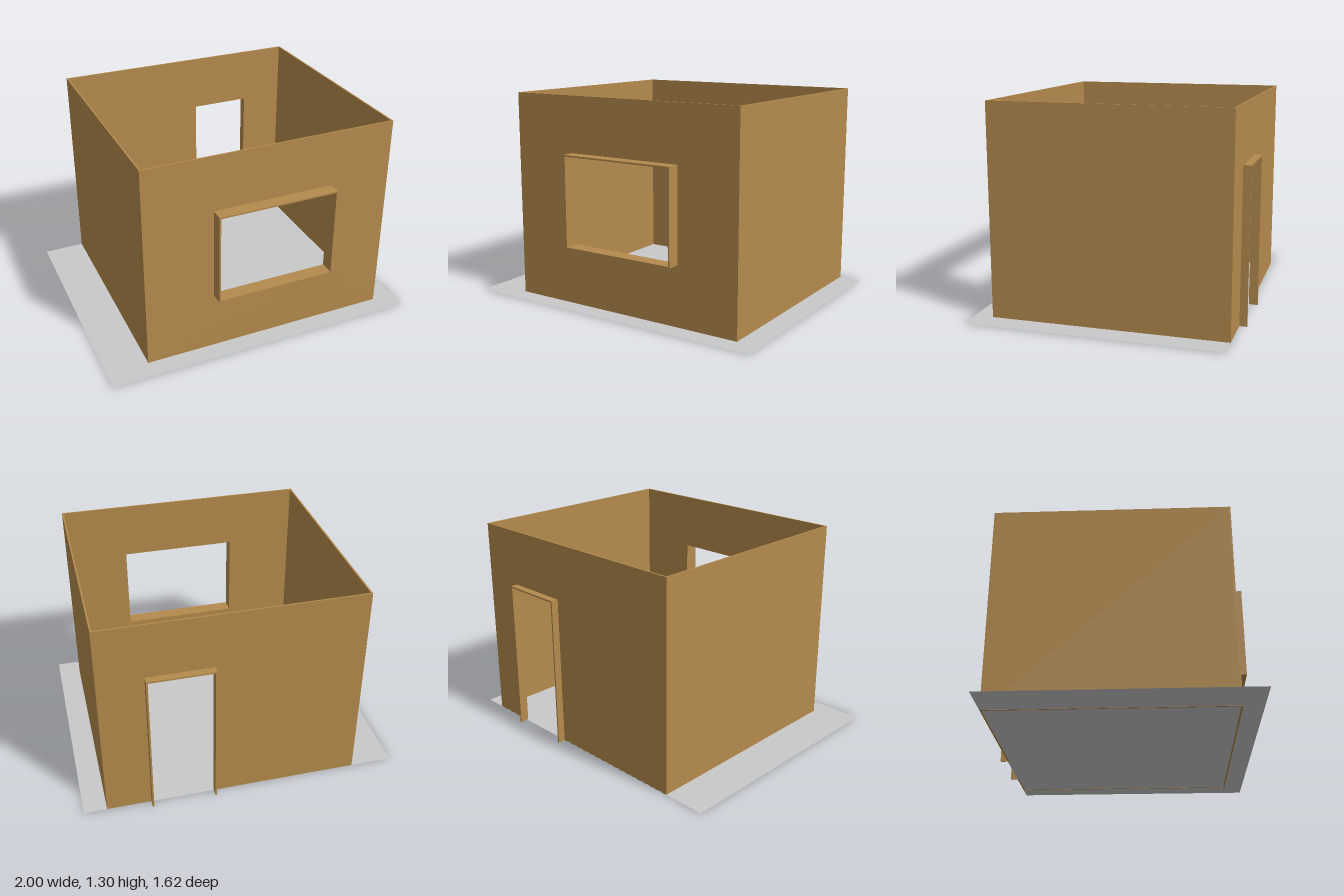
import * as THREE from 'three';

const T = 0.01; // sheet thickness of walls and frames
const X0 = -0.737, X1 = 0.857, Z0 = -0.762, Z1 = 0.687, H = 1.305;

// Closed outline from corner pairs
const outline = (pts, Type = THREE.Shape) => new Type(pts.map(([x, y]) => new THREE.Vector2(x, y)));
const rect = (x0, y0, x1, y1) => [[x0, y0], [x1, y0], [x1, y1], [x0, y1]];

export function createModel() {
  const group = new THREE.Group();
  const wallMat = new THREE.MeshStandardMaterial({ color: 0xb58b4d });
  wallMat.name = 'tan wall';
  const floorMat = new THREE.MeshStandardMaterial({ color: 0xc9c9c9, side: THREE.DoubleSide });
  floorMat.name = 'grey floor';

  const add = (name, geometry, material) => {
    const mesh = new THREE.Mesh(geometry, material);
    mesh.name = name;
    group.add(mesh);
    return mesh;
  };
  // Upright shape extruded along z from z0 to z1
  const upright = (name, shape, z0, z1) => {
    const g = new THREE.ExtrudeGeometry(shape, { depth: z1 - z0, bevelEnabled: false });
    add(name, g.translate(0, 0, z0), wallMat);
  };

  // Floor sheet, just above the wall bottoms
  const floor = add('floor', new THREE.PlaneGeometry(2, 1.57).rotateX(-Math.PI / 2), floorMat);
  floor.position.set(0, 0.002, 0.022);

  // Front wall with window opening and projecting window frame
  const wx0 = -0.306, wx1 = 0.46, wy0 = 0.375, wy1 = 0.956;
  const front = outline(rect(X0, 0, X1, H));
  front.holes.push(outline(rect(wx0, wy0, wx1, wy1), THREE.Path));
  upright('frontWall', front, Z1 - T, Z1);
  const windowFrame = outline(rect(wx0, wy0, wx1, wy1));
  windowFrame.holes.push(outline(rect(wx0 + T, wy0 + T, wx1 - T, wy1 - T), THREE.Path));
  upright('windowFrame', windowFrame, Z1 - T, 0.768);

  // Back wall with door opening down to the floor, and projecting door frame
  const dx0 = 0.175, dx1 = 0.582, dy = 0.956;
  upright('backWall', outline([
    [X0, 0], [dx0, 0], [dx0, dy], [dx1, dy], [dx1, 0], [X1, 0], [X1, H], [X0, H],
  ]), Z0, Z0 + T);
  upright('doorFrame', outline([
    [dx0, 0], [dx0 + T, 0], [dx0 + T, dy - T], [dx1 - T, dy - T],
    [dx1 - T, 0], [dx1, 0], [dx1, dy], [dx0, dy],
  ]), -0.808, Z0 + T);

  // Side walls between front and back
  const depth = Z1 - Z0 - 2 * T;
  for (const [name, x] of [['rightWall', X0 + T / 2], ['leftWall', X1 - T / 2]]) {
    const wall = add(name, new THREE.BoxGeometry(T, H, depth), wallMat);
    wall.position.set(x, H / 2, (Z0 + Z1) / 2);
  }
  return group;
}
